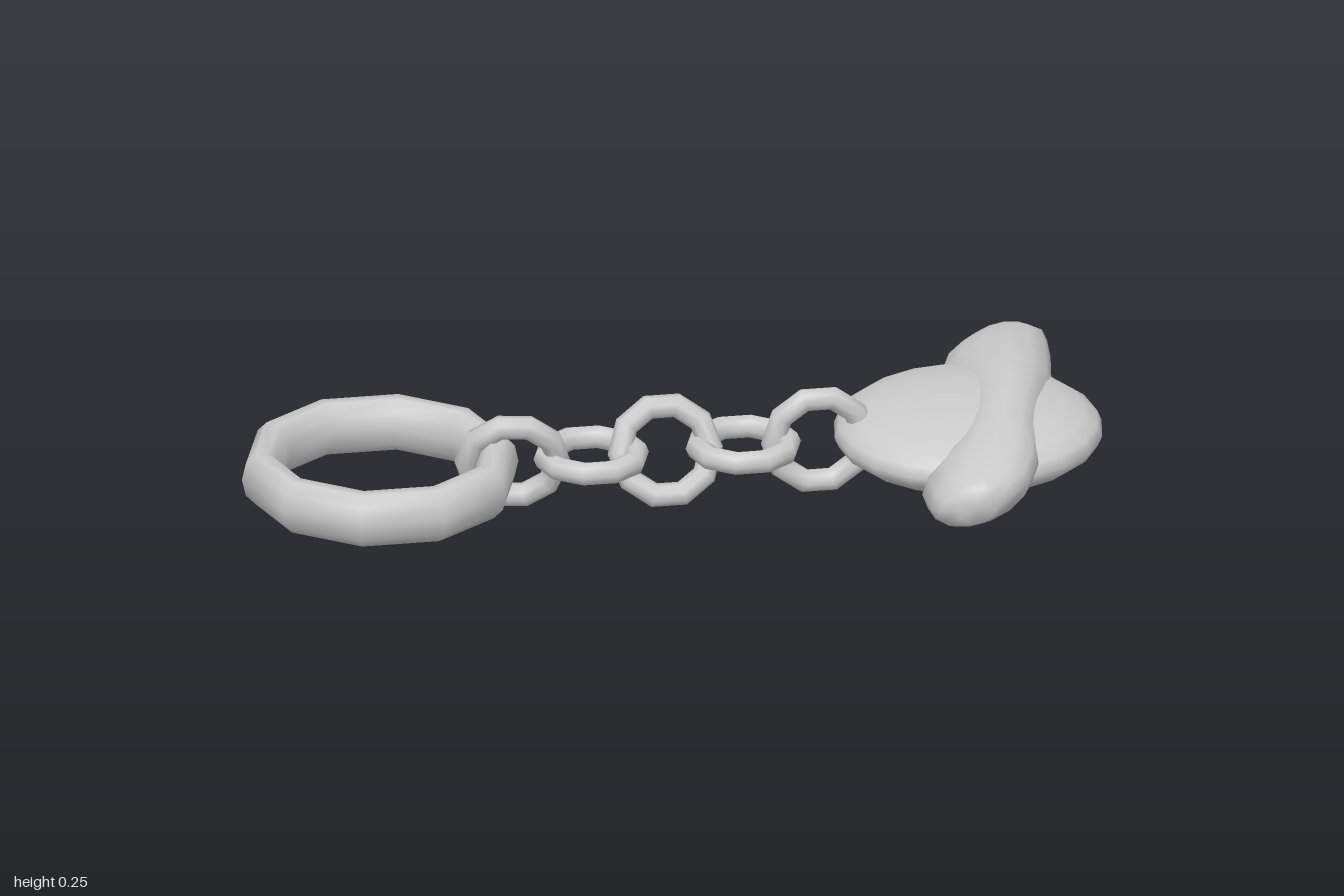
import * as THREE from 'three';

const MID = 0.14; // height of the chain's centre line
const material = new THREE.MeshStandardMaterial({ color: 0xcccccc });

function add(group, name, geometry, x, y, z) {
  const mesh = new THREE.Mesh(geometry, material);
  mesh.name = name;
  mesh.position.set(x, y, z);
  group.add(mesh);
  return mesh;
}

// Closed loft along z; each section is [z, x, halfWidth, y, halfHeight]
function loft(sections, sides, roll) {
  const pos = [], index = [];
  const first = sections[0], last = sections[sections.length - 1];
  const rows = [[first[0], first[1], 0, first[3], 0], ...sections, [last[0], last[1], 0, last[3], 0]];
  rows.forEach(([z, x, w, y, h]) => {
    for (let i = 0; i < sides; i++) {
      const a = (i / sides) * Math.PI * 2;
      const dx = w * Math.cos(a);
      pos.push(x + dx, y + h * Math.sin(a) + roll * dx, z);
    }
  });
  for (let r = 0; r < rows.length - 1; r++) {
    for (let i = 0; i < sides; i++) {
      const a = r * sides + i, b = r * sides + ((i + 1) % sides);
      const c = a + sides, d = b + sides;
      if (r > 0) index.push(a, b, c);
      if (r < rows.length - 2) index.push(b, d, c);
      else if (r === 0) index.push(b, d, c);
    }
  }
  const g = new THREE.BufferGeometry();
  g.setAttribute('position', new THREE.Float32BufferAttribute(pos, 3));
  g.setIndex(index);
  g.computeVertexNormals();
  return g;
}

export function createModel() {
  const group = new THREE.Group();

  // Large ten-sided key ring, taller than it is thick
  const ring = new THREE.TorusGeometry(0.275, 0.046, 10, 10);
  ring.rotateX(Math.PI / 2);
  ring.scale(1, 1.45, 1);
  add(group, 'keyRing', ring, -0.68, MID, 0);

  // Chain links alternate upright and flat: [x, tilt about x, turn about y]
  const link = new THREE.TorusGeometry(0.106, 0.028, 8, 10);
  const links = [
    [-0.373, 0.3, -0.12],
    [-0.19, Math.PI / 2, 0],
    [-0.018, -0.43, 0],
    [0.163, Math.PI / 2, 0],
    [0.338, 0, 0],
  ];
  links.forEach(([x, tilt, turn], i) => {
    add(group, 'chainLink' + (i + 1), link, x, MID, 0).rotation.set(tilt, turn, 0);
  });

  // Pendant: flattened round body
  const body = new THREE.SphereGeometry(1, 20, 12);
  body.scale(0.31, 0.094, 0.306);
  add(group, 'pendantBody', body, 0.685, MID, 0);

  // Slanted band lying across the body
  const band = loft([
    [-0.437, 0.84, 0.04, 0.163, 0.038],
    [-0.425, 0.825, 0.08, 0.16, 0.048],
    [-0.37, 0.812, 0.12, 0.158, 0.066],
    [-0.27, 0.795, 0.128, 0.158, 0.089],
    [-0.12, 0.785, 0.115, 0.152, 0.106],
    [0, 0.765, 0.1, 0.148, 0.114],
    [0.15, 0.72, 0.105, 0.143, 0.103],
    [0.28, 0.665, 0.135, 0.138, 0.089],
    [0.36, 0.65, 0.114, 0.135, 0.073],
    [0.41, 0.635, 0.086, 0.138, 0.055],
    [0.435, 0.635, 0.045, 0.141, 0.044],
  ], 14, 0.2);
  add(group, 'pendantBand', band, 0, 0, 0);

  return group;
}
